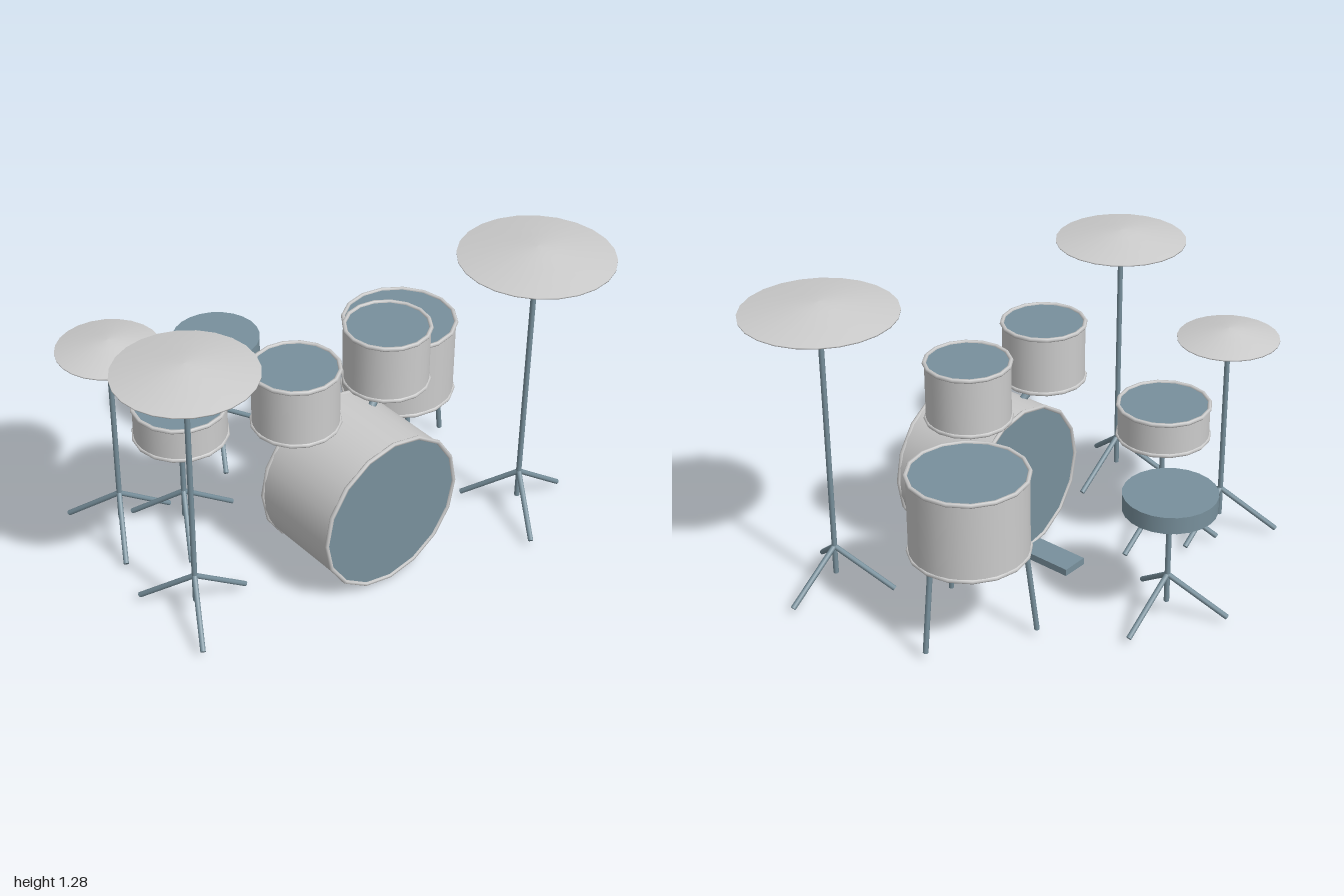
import * as THREE from 'three';

const shellMat = new THREE.MeshStandardMaterial({ color: 0xcccccc });
const cymbalMat = new THREE.MeshStandardMaterial({ color: 0xcccccc, side: THREE.DoubleSide });
const darkMat = new THREE.MeshStandardMaterial({ color: 0x78909c });

function add(parent, name, geometry, material) {
  const mesh = new THREE.Mesh(geometry, material);
  mesh.name = name;
  parent.add(mesh);
  return mesh;
}

// Round bar between two points
function rod(parent, name, from, to, radius = 0.011) {
  const a = new THREE.Vector3(...from), b = new THREE.Vector3(...to);
  const dir = b.clone().sub(a);
  const mesh = add(parent, name, new THREE.CylinderGeometry(radius, radius, dir.length(), 8), darkMat);
  mesh.position.copy(a).add(b).multiplyScalar(0.5);
  mesh.quaternion.setFromUnitVectors(new THREE.Vector3(0, 1, 0), dir.normalize());
  return mesh;
}

// Drum centred on its own origin, axis along y: shell, two heads, two hoops
function drum(parent, name, radius, height, x, y, z) {
  const group = new THREE.Group();
  group.name = name;
  group.position.set(x, y, z);
  add(group, 'shell', new THREE.CylinderGeometry(radius, radius, height, 32, 1, true), shellMat);
  for (const side of [1, -1]) {
    const head = add(group, 'head', new THREE.CircleGeometry(radius, 32), darkMat);
    head.rotation.x = -side * Math.PI / 2;
    head.position.y = side * (height / 2 + 0.001);
    const hoop = add(group, 'hoop', new THREE.TorusGeometry(radius, 0.009, 6, 16), shellMat);
    hoop.rotation.x = Math.PI / 2;
    hoop.position.y = side * height / 2;
  }
  parent.add(group);
  return group;
}

// Three legs spread evenly around an upright axis, the first towards +x
function threeLegs(parent, topRadius, topY, footRadius, footY) {
  for (let i = 0; i < 3; i++) {
    const a = i * Math.PI * 2 / 3, c = Math.cos(a), s = Math.sin(a);
    rod(parent, 'leg', [c * topRadius, topY, s * topRadius], [c * footRadius, footY, s * footRadius]);
  }
}

// Pole on a tripod foot
function stand(parent, name, x, z, height) {
  const group = new THREE.Group();
  group.name = name;
  group.position.set(x, 0, z);
  rod(group, 'pole', [0, 0.08, 0], [0, height, 0]);
  threeLegs(group, 0, 0.205, 0.24, 0.03);
  parent.add(group);
  return group;
}

// Thin cymbal with a low bell on its own stand
function cymbalStand(parent, name, x, z, radius, y) {
  const group = stand(parent, name, x, z, y + 0.035);
  const profile = [[0, 0.033], [radius, 0], [radius, 0.005], [radius * 0.28, 0.042], [0, 0.047]]
    .map(([r, h]) => new THREE.Vector2(r, h));
  add(group, 'cymbal', new THREE.LatheGeometry(profile, 24), cymbalMat).position.y = y;
}

export function createModel() {
  const kit = new THREE.Group();
  kit.name = 'drumKit';

  // Bass drum lying along z
  drum(kit, 'bassDrum', 0.326, 0.392, 0, 0.337, 0.316).rotation.x = Math.PI / 2;

  // Pair of toms with angled brackets
  for (const side of [1, -1]) {
    drum(kit, 'tom', 0.169, 0.24, side * 0.228, 0.833, 0.205);
    rod(kit, 'tomBracket', [side * 0.13, 0.63, 0.235], [side * 0.225, 0.72, 0.205], 0.016);
  }

  // Floor tom on three splayed legs
  const floorTom = drum(kit, 'floorTom', 0.234, 0.328, 0.55, 0.541, -0.08);
  threeLegs(floorTom, 0.22, -0.16, 0.26, -0.51);

  // Snare on its stand
  stand(kit, 'snareStand', -0.455, -0.242, 0.5);
  drum(kit, 'snare', 0.188, 0.138, -0.455, 0.572, -0.242);

  // Stool
  const stool = stand(kit, 'stool', 0, -0.615, 0.51);
  add(stool, 'seat', new THREE.CylinderGeometry(0.185, 0.185, 0.07, 24), darkMat).position.y = 0.54;

  // Cymbals
  cymbalStand(kit, 'rideCymbal', 0.692, 0.522, 0.305, 1.233);
  cymbalStand(kit, 'crashCymbal', -0.728, 0.205, 0.272, 1.145);
  cymbalStand(kit, 'hiHat', -0.665, -0.397, 0.207, 0.905);

  // Bass drum pedal
  add(kit, 'pedal', new THREE.BoxGeometry(0.115, 0.03, 0.235), darkMat).position.set(0, 0.04, -0.035);

  return kit;
}
